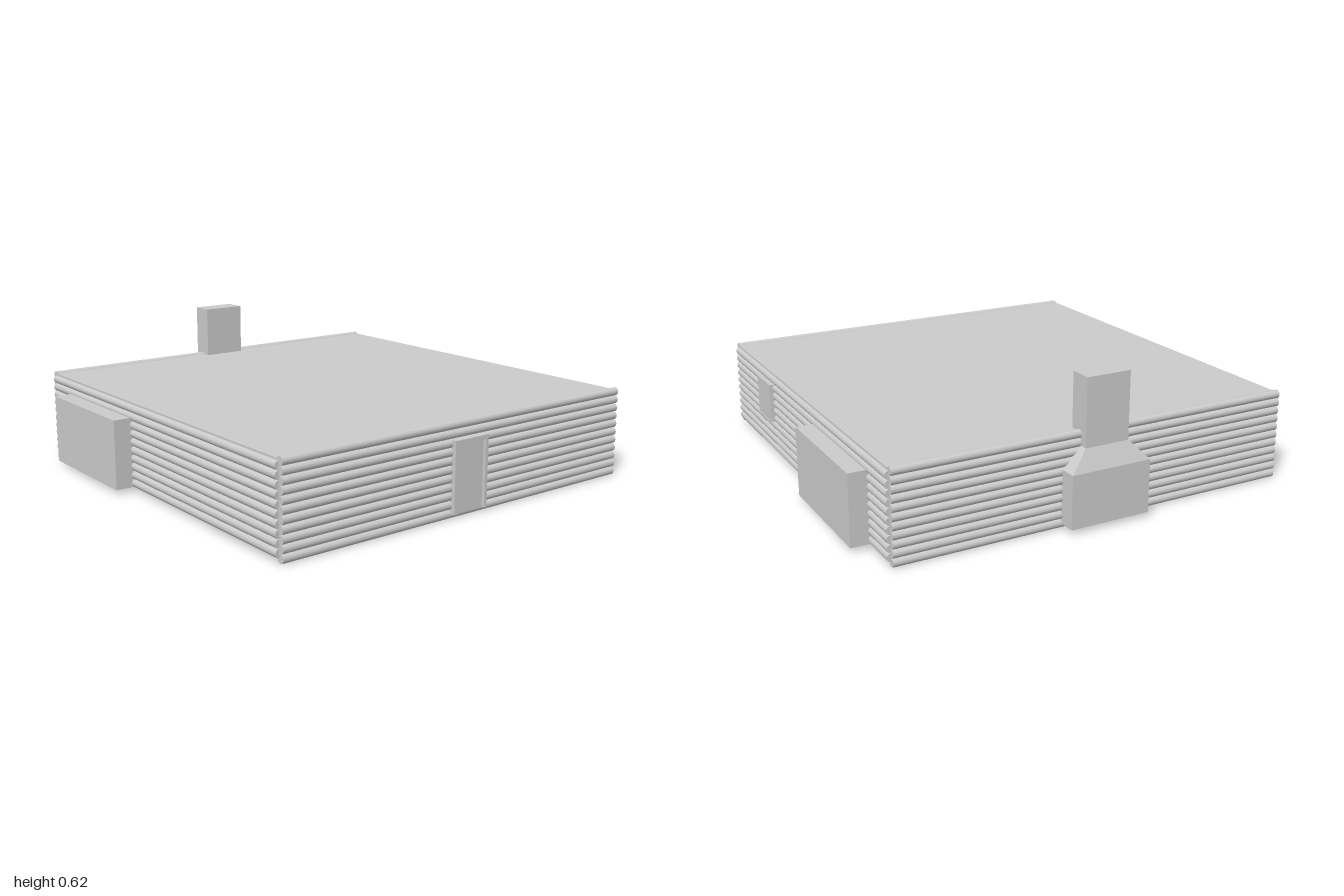
import * as THREE from 'three';

export function createModel() {
  const house = new THREE.Group();
  house.name = 'logCabin';
  const material = new THREE.MeshStandardMaterial({ color: 0xcccccc });

  const add = (name, geometry, parent = house) => {
    const mesh = new THREE.Mesh(geometry, material);
    mesh.name = name;
    parent.add(mesh);
    return mesh;
  };
  // Box from its minimum and maximum corners
  const box = (name, [x0, y0, z0], [x1, y1, z1], parent) => {
    const g = new THREE.BoxGeometry(x1 - x0, y1 - y0, z1 - z0);
    g.translate((x0 + x1) / 2, (y0 + y1) / 2, (z0 + z1) / 2);
    return add(name, g, parent);
  };

  // Core walls with the flat roof, and the slab below the floor
  box('coreAndRoof', [-0.885, 0.018, -0.91], [0.935, 0.39, 0.91]);
  box('floorSlab', [-0.08, 0.01, -0.265], [0.755, 0.03, 0.27]);

  // Log walls: the side logs sit half a step off the front and back logs
  const pitch = 0.0364, radius = 0.0182;
  const logWall = (name, count, y0, length, alongX, x, z) => {
    const wall = new THREE.Group();
    wall.name = name;
    house.add(wall);
    for (let i = 0; i < count; i++) {
      const g = new THREE.CylinderGeometry(radius, radius, length, 12);
      if (alongX) g.rotateZ(Math.PI / 2);
      else g.rotateX(Math.PI / 2);
      add('log', g, wall).position.set(x, y0 + i * pitch, z);
    }
  };
  logWall('leftLogs', 11, radius, 1.82, false, 0.939, 0);
  logWall('rightLogs', 11, radius, 1.82, false, -0.886, 0);
  logWall('frontLogs', 10, 2 * radius, 1.81, true, 0.025, 0.908);
  logWall('backLogs', 10, 2 * radius, 1.81, true, 0.025, -0.908);

  // Large bays on the front and back
  box('frontBay', [-0.705, 0.02, 0.88], [-0.135, 0.325, 1]);
  box('backBay', [-0.705, 0.02, -1], [-0.135, 0.325, -0.88]);

  // Small window panel on the back
  box('backWindow', [0.385, 0.17, -0.938], [0.56, 0.345, -0.9]);

  // Door with a raised frame, open at the foot
  const frame = new THREE.Shape();
  [[-0.09, 0.02], [-0.075, 0.02], [-0.075, 0.305], [0.075, 0.305],
    [0.075, 0.02], [0.09, 0.02], [0.09, 0.325], [-0.09, 0.325]]
    .forEach(([x, y], i) => (i ? frame.lineTo(x, y) : frame.moveTo(x, y)));
  const frameGeometry = new THREE.ExtrudeGeometry(frame, { depth: 0.04, bevelEnabled: false });
  frameGeometry.rotateY(Math.PI / 2);
  frameGeometry.translate(0.932, 0, 0);
  add('doorFrame', frameGeometry);
  box('doorPanel', [0.93, 0.02, -0.075], [0.959, 0.305, 0.075]);

  // Chimney: wide base, tapered shoulder, narrow stack
  const chimney = new THREE.Group();
  chimney.name = 'chimney';
  house.add(chimney);
  box('chimneyBase', [-0.975, 0.02, -0.182], [-0.87, 0.25, 0.182], chimney);
  const shoulder = box('chimneyShoulder', [-0.975, 0.25, -0.182], [-0.87, 0.335, 0.182], chimney);
  const p = shoulder.geometry.attributes.position;
  for (let i = 0; i < p.count; i++) {
    if (p.getY(i) < 0.3) continue;
    p.setZ(i, Math.sign(p.getZ(i)) * 0.1);
    if (p.getX(i) < -0.9) p.setX(i, -0.935);
  }
  shoulder.geometry.computeVertexNormals();
  box('chimneyStack', [-0.935, 0.335, -0.1], [-0.835, 0.625, 0.1], chimney);

  return house;
}
